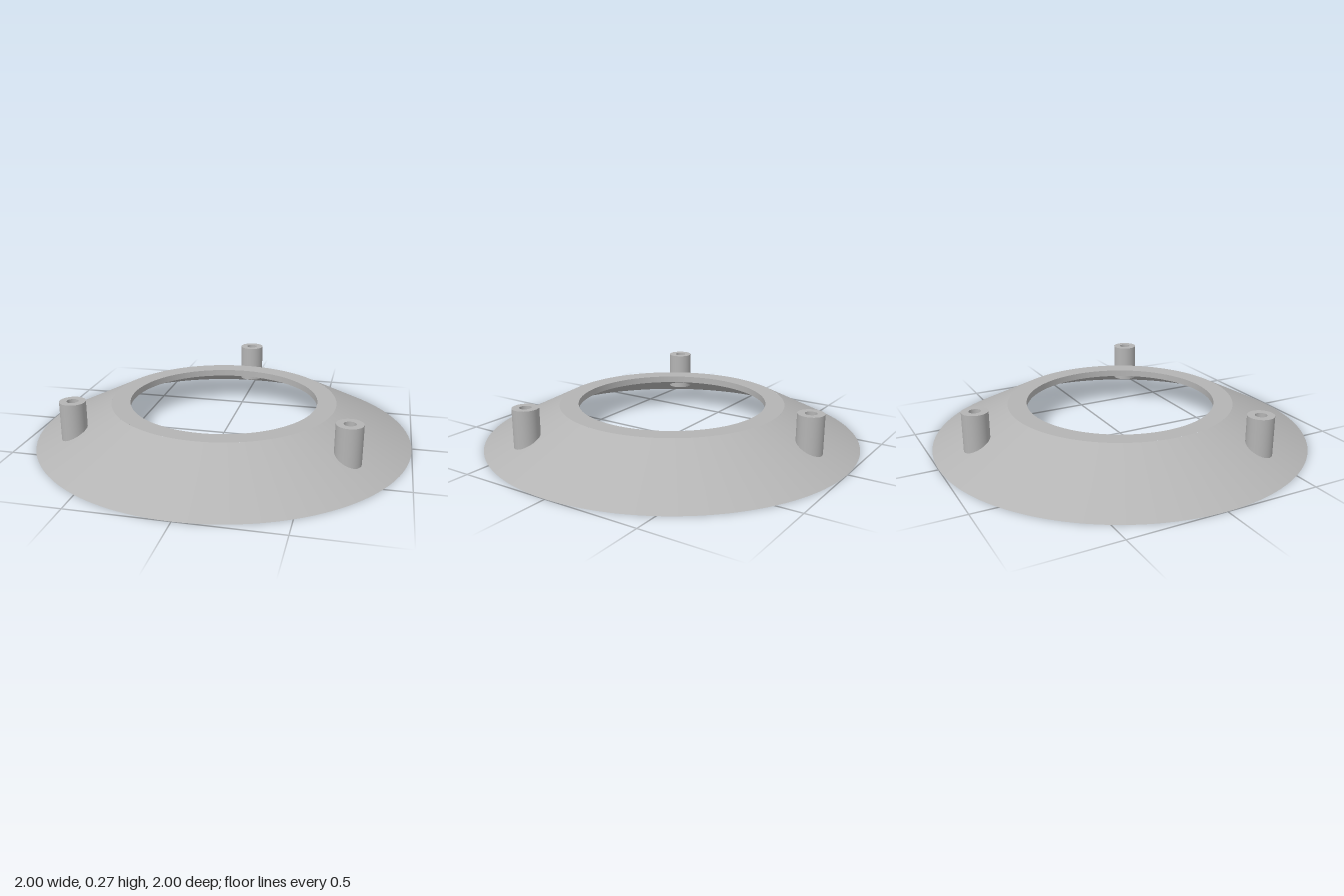
import * as THREE from 'three';
import { mergeGeometries } from 'three/addons/utils/BufferGeometryUtils.js';

const POST_AT = 0.8, POST_R = 0.067, BORE_R = 0.03, POST_BASE = 0.067, POST_TOP = 0.27;
const GAP = THREE.MathUtils.degToRad(4.5); // half angle of the drilled strip under each post
const topHeight = (r) => (1 - r) / 2;
const underHeight = (r) => (0.93 - r) / 2;

// One revolved band per profile edge, so that edges stay sharp
function bands(points, segments, start = 0, length = Math.PI * 2) {
  const parts = [];
  for (let i = 0; i < points.length - 1; i++) {
    const pair = [points[i], points[i + 1]].map(([r, y]) => new THREE.Vector2(r, y));
    parts.push(new THREE.LatheGeometry(pair, segments, start, length));
  }
  return mergeGeometries(parts);
}

// Narrow strip of the cone with a round hole for the bore
function drilledStrip(inner, outer, height, up) {
  const shape = new THREE.Shape();
  const steps = 4;
  for (let i = 0; i <= steps; i++) {
    const a = -GAP + (2 * GAP * i) / steps;
    const x = outer * Math.sin(a), y = outer * Math.cos(a);
    if (i === 0) shape.moveTo(x, y);
    else shape.lineTo(x, y);
  }
  for (let i = steps; i >= 0; i--) {
    const a = -GAP + (2 * GAP * i) / steps;
    shape.lineTo(inner * Math.sin(a), inner * Math.cos(a));
  }
  shape.closePath();
  shape.holes.push(new THREE.Path().absarc(0, POST_AT, BORE_R, 0, Math.PI * 2, false));
  const geometry = new THREE.ShapeGeometry(shape, 16);
  const pos = geometry.attributes.position, normal = geometry.attributes.normal;
  const s = (up ? 1 : -1) / Math.sqrt(5);
  for (let i = 0; i < pos.count; i++) {
    const x = pos.getX(i), z = pos.getY(i), r = Math.hypot(x, z);
    pos.setXYZ(i, x, height(r), z);
    normal.setXYZ(i, (s * x) / r, 2 * s, (s * z) / r);
  }
  if (up) geometry.index.array.reverse();
  return geometry;
}

// Bore wall, running down through the sloped shell
function boreGeometry() {
  const geometry = bands([[BORE_R, POST_TOP], [BORE_R, POST_BASE]], 32);
  const pos = geometry.attributes.position;
  for (let i = 0; i < pos.count; i++) {
    if (pos.getY(i) > 0.1) continue;
    const r = Math.hypot(pos.getX(i), pos.getZ(i) + POST_AT);
    pos.setY(i, Math.min(POST_BASE, underHeight(r)));
  }
  return geometry;
}

export function createModel() {
  const model = new THREE.Group();
  model.name = 'mountingRing';
  const grey = new THREE.MeshStandardMaterial({ color: 0xb4b4b4 });
  grey.name = 'grey';

  const add = (parent, name, geometry) => {
    const mesh = new THREE.Mesh(geometry, grey);
    mesh.name = name;
    parent.add(mesh);
    return mesh;
  };

  // Flat collar around the opening and flat outer foot
  add(model, 'collar', bands([[0.6, 0.2], [0.5, 0.2], [0.5, 0.165], [0.6, 0.165]], 120));
  add(model, 'outerFoot', bands([[0.93, 0], [1, 0]], 120));

  // Each third holds a stretch of sloped shell, a drilled strip and a hollow post
  const arc = (Math.PI * 2) / 3 - 2 * GAP;
  const slopeTop = bands([[1, 0], [0.6, 0.2]], 40, GAP, arc);
  const slopeUnder = bands([[0.6, 0.165], [0.93, 0]], 40, GAP, arc);
  const stripTop = drilledStrip(0.6, 1, topHeight, true);
  const stripUnder = drilledStrip(0.6, 0.93, underHeight, false);
  const sleeve = bands([
    [BORE_R, POST_BASE], [POST_R, POST_BASE], [POST_R, POST_TOP], [BORE_R, POST_TOP],
  ], 32);
  const bore = boreGeometry();

  for (let i = 0; i < 3; i++) {
    const third = new THREE.Group();
    third.name = 'shellThird';
    third.rotation.y = Math.PI / 3 + (i * Math.PI * 2) / 3;
    add(third, 'slopeTop', slopeTop);
    add(third, 'slopeUnderside', slopeUnder);
    add(third, 'drilledStripTop', stripTop);
    add(third, 'drilledStripUnderside', stripUnder);

    const post = new THREE.Group();
    post.name = 'post';
    post.position.z = POST_AT;
    add(post, 'postSleeve', sleeve);
    add(post, 'postBore', bore);
    third.add(post);
    model.add(third);
  }
  return model;
}
